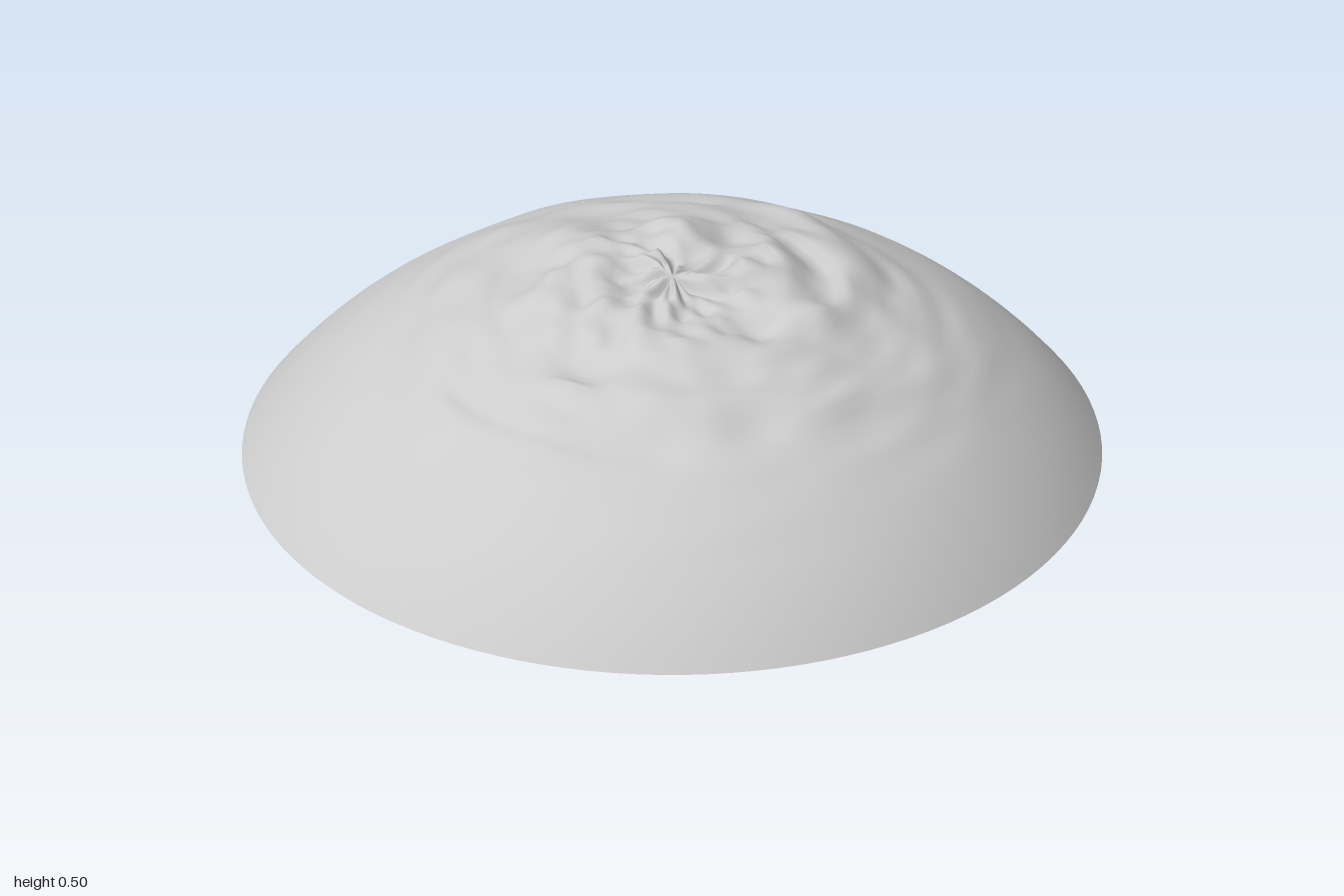
import * as THREE from 'three';
import { mergeVertices } from 'three/addons/utils/BufferGeometryUtils.js';

const RADIUS = 1.25; // sphere the dome is cut from
const DROP = 0.75; // sphere centre lies this far below the rim
const RINGS = 48;
const SIDES = 112;

// Repeatable pseudo-random value in -1..1 for a lattice point
function hash(i, j, seed) {
  const s = Math.sin(i * 127.1 + j * 311.7 + seed * 74.7) * 43758.5453;
  return (s - Math.floor(s)) * 2 - 1;
}

// Smooth noise over angle (wrapping after `cells`) and distance from the axis
function polarNoise(angle, r, cells, bands, seed) {
  const u = (angle / (2 * Math.PI) + 1) * cells;
  const v = r * bands;
  const i = Math.floor(u), j = Math.floor(v);
  const smooth = (t) => t * t * (3 - 2 * t);
  const a = smooth(u - i), b = smooth(v - j);
  const at = (di, dj) => hash((i + di) % cells, j + dj, seed);
  return THREE.MathUtils.lerp(
    THREE.MathUtils.lerp(at(0, 0), at(1, 0), a),
    THREE.MathUtils.lerp(at(0, 1), at(1, 1), a), b);
}

// Rocky relief: strong at the summit, fading to nothing at the rim
function relief(x, z) {
  const r = Math.min(1, Math.hypot(x, z));
  const angle = Math.atan2(z, x);
  const bumps = polarNoise(angle, r, 14, 11, 1) * 0.65 + polarNoise(angle, r, 28, 22, 2) * 0.35;
  const fade = Math.pow(1 - r, 0.9) * THREE.MathUtils.smoothstep(1 - r, 0.05, 0.5);
  const pole = THREE.MathUtils.smoothstep(r, 0, 0.05);
  return fade * (bumps * 0.056 * pole - 0.02);
}

export function createModel() {
  const group = new THREE.Group();
  const stone = new THREE.MeshStandardMaterial({ color: 0xcccccc, side: THREE.DoubleSide });
  stone.name = 'light grey';

  // Open spherical cap, profile running from the rim up to the summit
  const rimAngle = Math.asin(1 / RADIUS);
  const profile = [];
  for (let i = 0; i <= RINGS; i++) {
    const a = rimAngle * (1 - i / RINGS);
    profile.push(new THREE.Vector2(RADIUS * Math.sin(a), Math.max(0, RADIUS * Math.cos(a) - DROP)));
  }
  let dome = new THREE.LatheGeometry(profile, SIDES);

  // Weld the seam so the shading is continuous, then raise the relief
  dome.deleteAttribute('uv');
  dome.deleteAttribute('normal');
  dome = mergeVertices(dome, 1e-5);
  const p = dome.attributes.position;
  for (let i = 0; i < p.count; i++) {
    p.setY(i, Math.max(0, p.getY(i) + relief(p.getX(i), p.getZ(i))));
  }
  dome.computeVertexNormals();

  const mesh = new THREE.Mesh(dome, stone);
  mesh.name = 'rockyDomeShell';
  group.add(mesh);
  return group;
}
